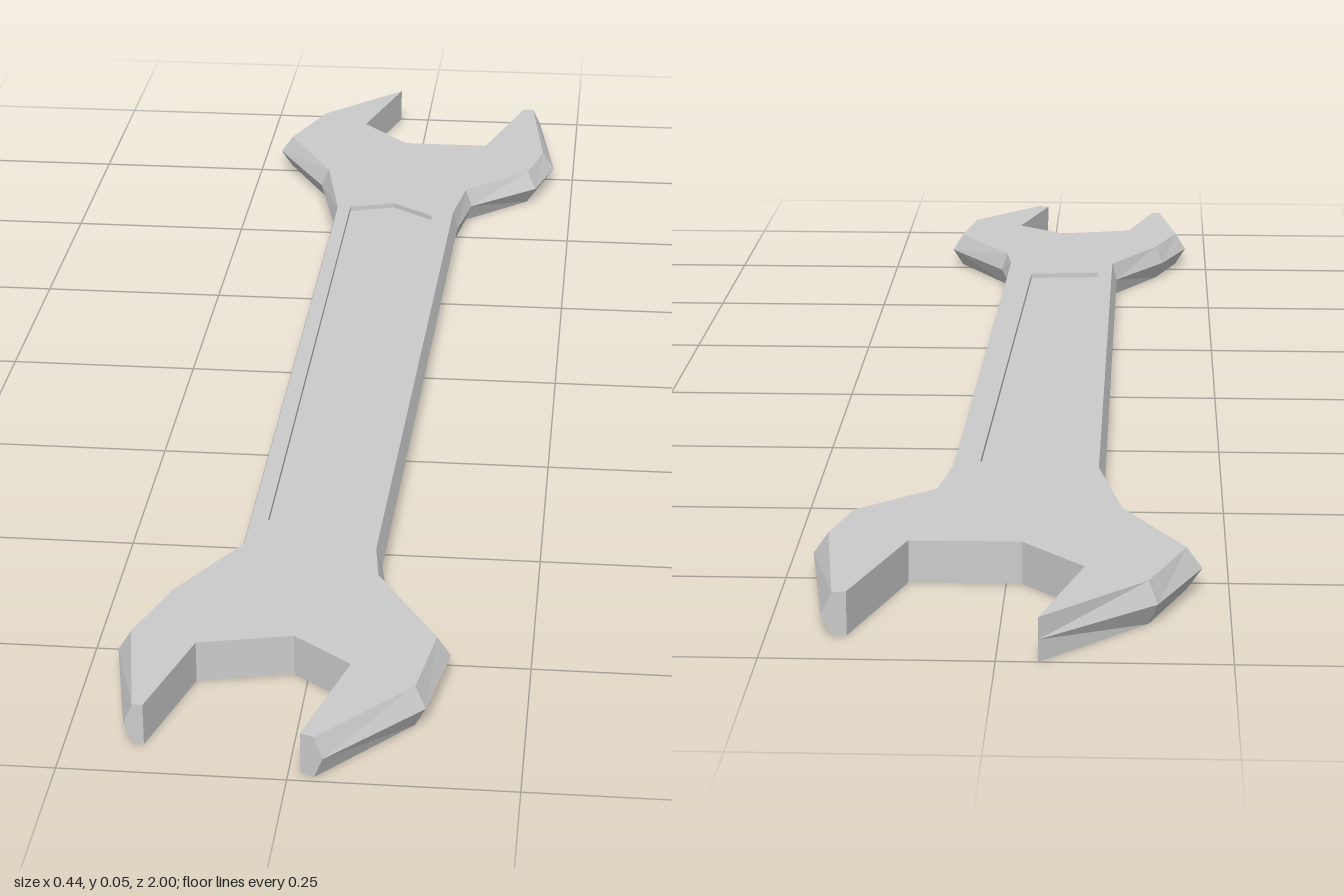
import * as THREE from 'three';

const THICK = 0.05, MID = THICK / 2, RECESS = 0.007;

// Wrench outline seen from above, counter-clockwise: [x, z, bevel width]
const OUTLINE = [
  // left edge, back jaw to front jaw
  [-0.045, -1.0, 0], [-0.17, -0.89, 0.012], [-0.22, -0.77, 0.016], [-0.14, -0.63, 0.012],
  [-0.106, -0.48, 0.007], [-0.108, 0.575, 0.007], [-0.18, 0.69, 0.012], [-0.217, 0.79, 0.015],
  [-0.185, 0.945, 0.01],
  // front jaw opening
  [-0.163, 0.945, 0], [-0.125, 0.81, 0], [-0.017, 0.785, 0], [0.053, 0.84, 0], [0.013, 0.985, 0],
  // right edge, front jaw to back jaw
  [0.038, 0.995, 0.01], [0.14, 0.885, 0.013], [0.16, 0.77, 0.015], [0.075, 0.635, 0.01],
  [0.064, 0.575, 0.007], [0.084, -0.475, 0.007], [0.1, -0.565, 0.01], [0.195, -0.645, 0.015],
  [0.22, -0.735, 0.017], [0.19, -0.935, 0.012],
  // back jaw opening
  [0.163, -0.93, 0], [0.11, -0.76, 0], [-0.018, -0.76, 0], [-0.09, -0.84, 0],
];

// Shallow panel sunk into both faces of the handle: [x, z]
const PANEL = [[-0.08, -0.485], [-0.08, 0.517], [0.022, 0.507], [0.046, -0.46], [-0.015, -0.505]];

const toPlane = ([x, z]) => new THREE.Vector2(x, -z);

// Pulls the outer corners in by their bevel width; jaw openings stay straight
function insetOutline() {
  const n = OUTLINE.length, pts = OUTLINE.map(toPlane);
  return pts.map((p, i) => {
    const w = OUTLINE[i][2], a = (i + n - 1) % n, b = (i + 1) % n;
    if (!w) return p.clone();
    const d1 = p.clone().sub(pts[a]).normalize();
    const d2 = pts[b].clone().sub(p).normalize();
    // a jaw tip slides along its short end face
    if (i === 8) return p.clone().addScaledVector(d2, w);
    if (i === 14) return p.clone().addScaledVector(d1, -w);
    if (i === 23) return p.clone().addScaledVector(d2, w);
    const m = new THREE.Vector2(d1.y + d2.y, -d1.x - d2.x).normalize();
    return p.clone().addScaledVector(m, -w / (m.x * d1.y - m.y * d1.x));
  });
}

// Collects triangles for the upper half and repeats them mirrored below
function halfBuilder() {
  const tris = [];
  const tri = (a, b, c) => tris.push([a, b, c]);
  return {
    cap(contour, holes, y) {
      const all = contour.concat(...holes);
      for (const [a, b, c] of THREE.ShapeUtils.triangulateShape(contour, holes))
        tri(...[a, b, c].map((k) => [all[k].x, y, -all[k].y]));
    },
    wall(low, yLow, high, yHigh) {
      low.forEach((p, i) => {
        const j = (i + 1) % low.length;
        const a = [p.x, yLow, -p.y], b = [low[j].x, yLow, -low[j].y];
        const c = [high[j].x, yHigh, -high[j].y], d = [high[i].x, yHigh, -high[i].y];
        tri(a, b, c);
        tri(a, c, d);
      });
    },
    build() {
      const flip = ([x, y, z]) => [x, THICK - y, z];
      const below = tris.map(([a, b, c]) => [flip(a), flip(c), flip(b)]);
      const geo = new THREE.BufferGeometry();
      geo.setAttribute('position', new THREE.Float32BufferAttribute([...tris, ...below].flat(2), 3));
      geo.computeVertexNormals();
      return geo;
    },
  };
}

export function createModel() {
  const group = new THREE.Group();
  group.name = 'openEndedWrench';
  const material = new THREE.MeshStandardMaterial({ color: 0xcccccc, flatShading: true });
  const add = (name, geometry) => {
    const mesh = new THREE.Mesh(geometry, material);
    mesh.name = name;
    group.add(mesh);
  };

  const ridge = OUTLINE.map(toPlane), face = insetOutline(), panel = PANEL.map(toPlane);

  // Handle and both jaws, with a ridge running round the outer edge
  const body = halfBuilder();
  body.wall(ridge, MID, face, THICK);
  body.cap(face, [panel.slice()], THICK);
  add('wrenchBody', body.build());

  // Sunken panel floors and their inward-facing rims
  const recess = halfBuilder();
  const inward = panel.slice().reverse();
  recess.wall(inward, THICK - RECESS, inward, THICK);
  recess.cap(panel.slice(), [], THICK - RECESS);
  add('handleRecess', recess.build());

  return group;
}
